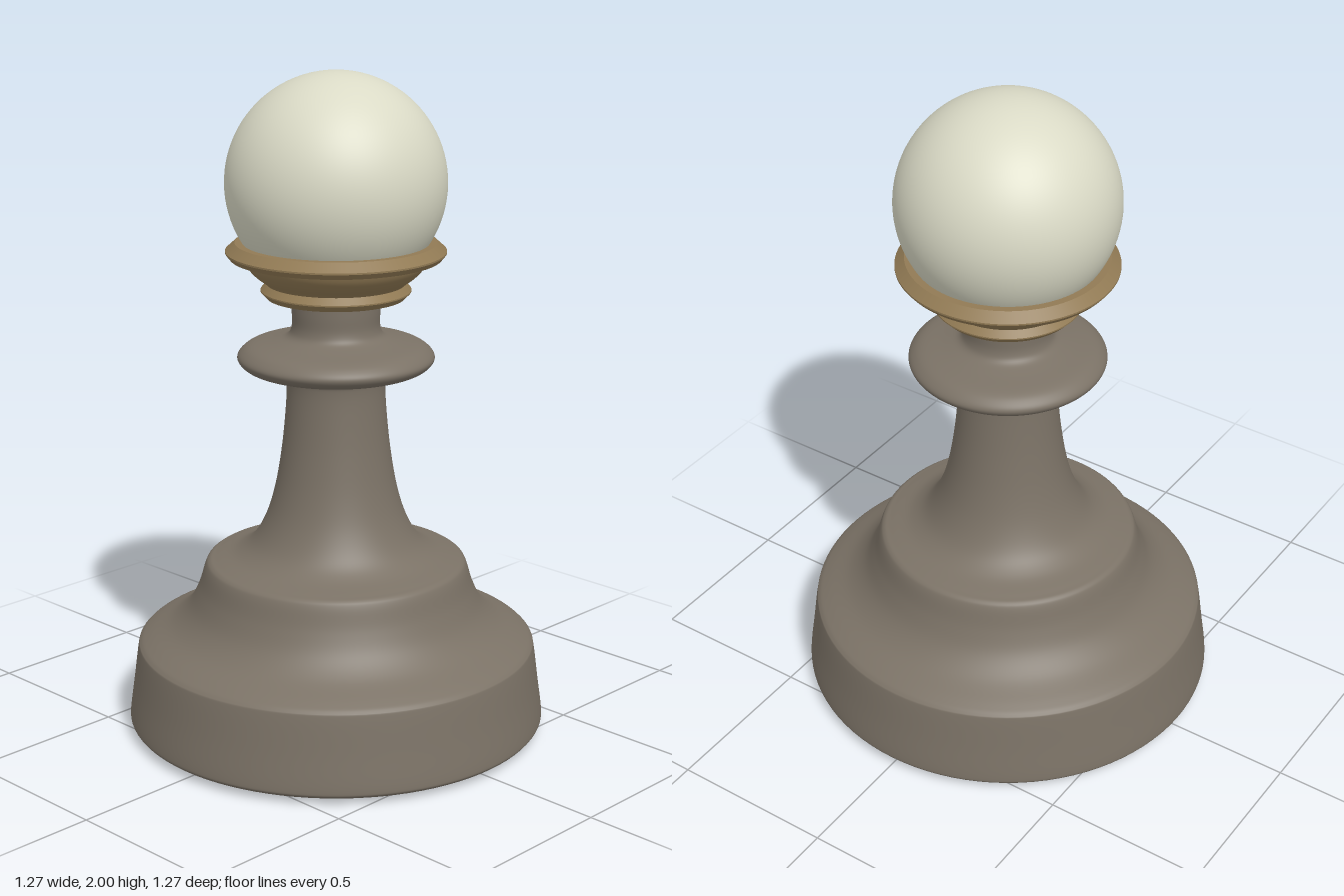
import * as THREE from 'three';

const SEGMENTS = 96;
const toVectors = (points) => points.map(([r, y]) => new THREE.Vector2(r, y));

// Profile with smooth shading throughout, run through a spline
function smoothProfile(points, samples) {
  return new THREE.SplineCurve(toVectors(points)).getPoints(samples)
    .map((p) => new THREE.Vector2(Math.max(p.x, 0), p.y));
}

// Profile whose corners stay sharp: each inner point is doubled
function sharpProfile(points) {
  const v = toVectors(points);
  return v.flatMap((p, i) => (i === 0 || i === v.length - 1 ? [p] : [p, p.clone()]));
}

export function createModel() {
  const model = new THREE.Group();
  model.name = 'pawn';

  const stone = new THREE.MeshStandardMaterial({ color: 0x7b7266 });
  stone.name = 'warm grey';
  const bronze = new THREE.MeshStandardMaterial({ color: 0x917a54 });
  bronze.name = 'bronze';
  const ivory = new THREE.MeshStandardMaterial({ color: 0xdadac6 });
  ivory.name = 'ivory';

  const add = (name, geometry, material) => {
    const mesh = new THREE.Mesh(geometry, material);
    mesh.name = name;
    model.add(mesh);
    return mesh;
  };
  const lathe = (profile) => new THREE.LatheGeometry(profile, SEGMENTS);

  // Underside, slightly domed
  add('underside', lathe(toVectors([[0, 0], [0.3, 0.004], [0.57, 0.012]])), stone);

  // Foot, shoulder, stem and disc in one turned piece
  const bodyPoints = [
    [0.57, 0.012], [0.61, 0.017], [0.63, 0.027], [0.633, 0.05],
    [0.62, 0.145], [0.606, 0.25], [0.598, 0.272], [0.57, 0.29],
    [0.5, 0.327], [0.45, 0.376], [0.418, 0.44], [0.398, 0.505],
    [0.385, 0.525], [0.36, 0.533], [0.3, 0.552], [0.25, 0.592],
    [0.21, 0.665], [0.182, 0.76], [0.162, 0.88], [0.15, 1.0],
    [0.147, 1.075], [0.155, 1.1], [0.19, 1.113], [0.25, 1.121],
    [0.28, 1.135], [0.293, 1.156], [0.28, 1.177], [0.25, 1.194],
    [0.185, 1.208], [0.145, 1.222], [0.131, 1.25], [0.131, 1.3], [0.131, 1.36],
  ];
  add('body', lathe(smoothProfile(bodyPoints, 192)), stone);

  // Thin ring under the cup
  add('lowerRing', lathe(sharpProfile([
    [0.12, 1.338], [0.205, 1.338], [0.222, 1.356], [0.222, 1.36],
    [0.203, 1.381], [0.12, 1.381],
  ])), bronze);

  // Curved cup that holds the head
  add('cup', lathe(smoothProfile([
    [0.19, 1.36], [0.208, 1.382], [0.238, 1.405], [0.262, 1.432], [0.275, 1.462],
  ], 20)), bronze);

  // Bevelled rim of the cup
  add('cupRim', lathe(sharpProfile([
    [0.265, 1.456], [0.312, 1.456], [0.325, 1.472], [0.325, 1.477],
    [0.297, 1.502], [0.255, 1.502],
  ])), bronze);

  // Round head
  add('head', new THREE.SphereGeometry(0.325, SEGMENTS, 48), ivory).position.y = 1.675;

  return model;
}
